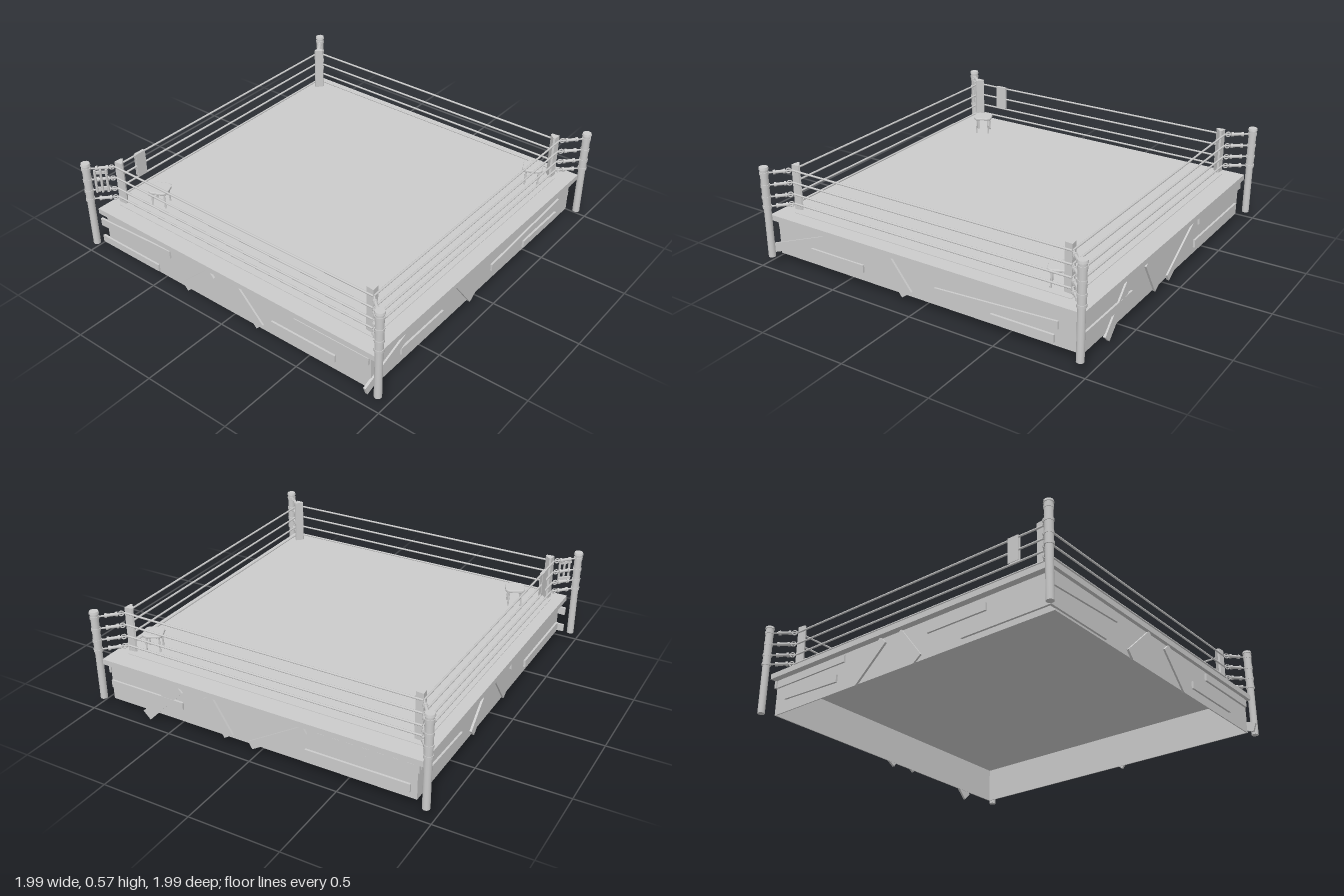
import * as THREE from 'three';

const material = new THREE.MeshStandardMaterial({ color: 0xcccccc, side: THREE.DoubleSide });
const V = (x, y, z) => new THREE.Vector3(x, y, z);

function add(parent, name, geometry, x = 0, y = 0, z = 0) {
  const mesh = new THREE.Mesh(geometry, material);
  mesh.name = name;
  mesh.position.set(x, y, z);
  parent.add(mesh);
  return mesh;
}

// Box given by its minimum and maximum corners
function block(parent, name, x0, x1, y0, y1, z0, z1) {
  return add(parent, name, new THREE.BoxGeometry(x1 - x0, y1 - y0, z1 - z0),
    (x0 + x1) / 2, (y0 + y1) / 2, (z0 + z1) / 2);
}

// Round bar between two points
function bar(parent, name, a, b, r0, r1 = r0, sides = 8) {
  const mesh = add(parent, name, new THREE.CylinderGeometry(r1, r0, a.distanceTo(b), sides));
  mesh.position.copy(a).lerp(b, 0.5);
  mesh.quaternion.setFromUnitVectors(V(0, 1, 0), b.clone().sub(a).normalize());
  return mesh;
}

// One skirt wall with loose boards; each board is [u0, v0, u1, v1, width]
function skirtWall(name, angle, distance, u0, u1, boards) {
  const wall = new THREE.Group();
  wall.name = name;
  wall.rotation.y = angle;
  block(wall, 'skirtPanel', u0, u1, 0.048, 0.257, distance - 0.006, distance);
  boards.forEach(([a, b, c, d, width], i) => {
    const board = add(wall, 'board', new THREE.BoxGeometry(Math.hypot(c - a, d - b), width, 0.014),
      (a + c) / 2, (b + d) / 2, distance + 0.003 + 0.001 * (i % 3));
    board.rotation.z = Math.atan2(d - b, c - a);
  });
  return wall;
}

// Stool with a rounded square seat and four legs
function stool(x, z, angle) {
  const g = new THREE.Group();
  g.name = 'stool';
  g.position.set(x, 0.288, z);
  g.rotation.y = angle;
  const h = 0.05, r = 0.025, s = new THREE.Shape();
  s.absarc(h - r, h - r, r, 0, Math.PI / 2);
  s.absarc(r - h, h - r, r, Math.PI / 2, Math.PI);
  s.absarc(r - h, r - h, r, Math.PI, Math.PI * 1.5);
  s.absarc(h - r, r - h, r, Math.PI * 1.5, Math.PI * 2);
  const seat = new THREE.ExtrudeGeometry(s, {
    depth: 0.008, bevelEnabled: true, bevelSize: 0.005, bevelThickness: 0.004, bevelSegments: 2, curveSegments: 6,
  });
  seat.rotateX(-Math.PI / 2);
  add(g, 'stoolSeat', seat, 0, 0.092, 0);
  for (const i of [-1, 1]) for (const j of [-1, 1])
    bar(g, 'stoolLeg', V(i * 0.037, 0, j * 0.037), V(i * 0.033, 0.092, j * 0.033), 0.005);
  return g;
}

export function createModel() {
  const ring = new THREE.Group();
  ring.name = 'fightingRing';

  // Platform deck and mat
  block(ring, 'deck', -0.96, 0.95, 0.255, 0.286, -0.93, 0.945);
  block(ring, 'mat', -0.865, 0.84, 0.286, 0.289, -0.865, 0.86);

  // Open-bottomed skirt with boards nailed on
  ring.add(
    skirtWall('frontSkirt', 0, 0.908, -0.94, 0.932, [
      [-0.985, 0.07, -0.54, 0.238, 0.05], [-0.71, 0.12, -0.355, 0.12, 0.042],
      [-0.225, 0.25, -0.075, 0.055, 0.075], [0.24, 0.23, 0.938, 0.23, 0.042],
      [0.1, 0.127, 0.805, 0.165, 0.042], [0.43, 0.087, 0.785, 0.087, 0.042]]),
    skirtWall('leftSkirt', Math.PI / 2, 0.932, -0.908, 0.893, [
      [-0.685, 0.015, -0.46, 0.245, 0.06], [-0.905, 0.145, -0.44, 0.145, 0.042],
      [-0.28, 0.25, -0.16, 0.055, 0.06], [-0.03, 0.045, 0.29, 0.24, 0.045],
      [0.33, 0.228, 0.905, 0.228, 0.042], [0.29, 0.108, 0.86, 0.108, 0.045]]),
    skirtWall('backSkirt', Math.PI, 0.893, -0.932, 0.94, [
      [-0.92, 0.225, -0.4, 0.225, 0.042], [-0.85, 0.14, -0.45, 0.125, 0.042],
      [-0.32, 0.06, -0.12, 0.24, 0.055], [-0.02, 0.24, 0.12, 0.06, 0.06],
      [0.18, 0.2, 0.55, 0.2, 0.042], [0.4, 0.1, 0.92, 0.1, 0.042]]),
    skirtWall('rightSkirt', -Math.PI / 2, 0.94, -0.893, 0.908, [
      [-0.935, 0.19, -0.4, 0.215, 0.045], [-0.935, 0.08, -0.5, 0.08, 0.042],
      [-0.3, 0.06, -0.1, 0.24, 0.055], [0.05, 0.24, 0.22, 0.06, 0.06],
      [0.3, 0.12, 0.7, 0.12, 0.042], [0.45, 0.22, 0.9, 0.22, 0.042]]));

  // Corners, in order around the ring: post position and rope corner
  const corners = [
    { post: [-0.972, -0.97], rope: [-0.862, -0.864] },
    { post: [0.967, -0.957], rope: [0.838, -0.864] },
    { post: [0.952, 0.963], rope: [0.838, 0.856] },
    { post: [-0.957, 0.963], rope: [-0.862, 0.856] },
  ];
  const heights = [0.34, 0.395, 0.462, 0.532];

  corners.forEach(({ post: [px, pz], rope: [rx, rz] }, i) => {
    const g = new THREE.Group();
    g.name = 'corner';
    ring.add(g);

    // Post with upper sleeve and cap
    bar(g, 'post', V(px, 0.048, pz), V(px, 0.335, pz), 0.02, 0.02, 12);
    bar(g, 'postSleeve', V(px, 0.335, pz), V(px, 0.557, pz), 0.022, 0.022, 12);
    bar(g, 'postCap', V(px, 0.555, pz), V(px, 0.568, pz), 0.027, 0.024, 12);

    // Turnbuckles: rod, body and ring at every rope height
    const out = V(px - rx, 0, pz - rz).normalize();
    const angle = Math.atan2(-out.z, out.x);
    for (const y of heights) {
      const a = V(rx, y, rz), b = V(px, y, pz);
      const at = t => a.clone().lerp(b, t);
      bar(g, 'turnbuckleRod', a, b, 0.005);
      bar(g, 'turnbuckleBody', at(0.3), at(0.62), 0.009);
      for (const t of [0.28, 0.64]) bar(g, 'turnbuckleNut', at(t - 0.04), at(t + 0.04), 0.013);
      const eye = add(g, 'turnbuckleEye', new THREE.TorusGeometry(0.013, 0.004, 6, 14));
      eye.position.copy(at(0.12));
      eye.rotation.y = angle;
      bar(g, 'postCollar', V(px, y - 0.008, pz), V(px, y + 0.008, pz), 0.025, 0.025, 12);
    }

    // Wedge-shaped corner pad
    const sx = Math.sign(px), sz = Math.sign(pz);
    const pad = new THREE.Shape([[0, 0], [0.042, 0.004], [0.047, 0.014], [0.014, 0.047], [0.004, 0.042]]
      .map(([u, v]) => new THREE.Vector2(rx - sx * u, -(rz - sz * v))));
    const padGeometry = new THREE.ExtrudeGeometry(pad, { depth: 0.255, bevelEnabled: false });
    padGeometry.rotateX(-Math.PI / 2);
    add(g, 'cornerPad', padGeometry, 0, 0.31, 0);

    // Ropes to the next corner
    const [nx, nz] = corners[(i + 1) % 4].rope;
    for (const y of heights) bar(ring, 'rope', V(rx, y, rz), V(nx, y, nz), 0.0055);
  });

  // Towel folded over the back top rope
  for (const z of [-0.872, -0.857]) block(ring, 'towelFlap', -0.72, -0.655, 0.4, 0.536, z - 0.0015, z + 0.0015);
  block(ring, 'towelFold', -0.72, -0.655, 0.535, 0.539, -0.8735, -0.8555);

  // Small rack hung by the back right post
  const rack = new THREE.Group();
  rack.name = 'hangingRack';
  rack.position.set(-0.922, 0, -0.915);
  rack.rotation.y = -Math.PI / 4;
  ring.add(rack);
  for (const x of [-0.03, 0, 0.03]) bar(rack, 'rackUpright', V(x, 0.39, 0.012), V(x, 0.53, 0.012), 0.007);
  for (const y of [0.41, 0.51]) block(rack, 'rackRail', -0.038, 0.038, y - 0.008, y + 0.008, 0, 0.012);

  // Stools in opposite corners
  ring.add(stool(-0.715, -0.695, 0.45), stool(0.725, 0.773, 0.45));

  return ring;
}
